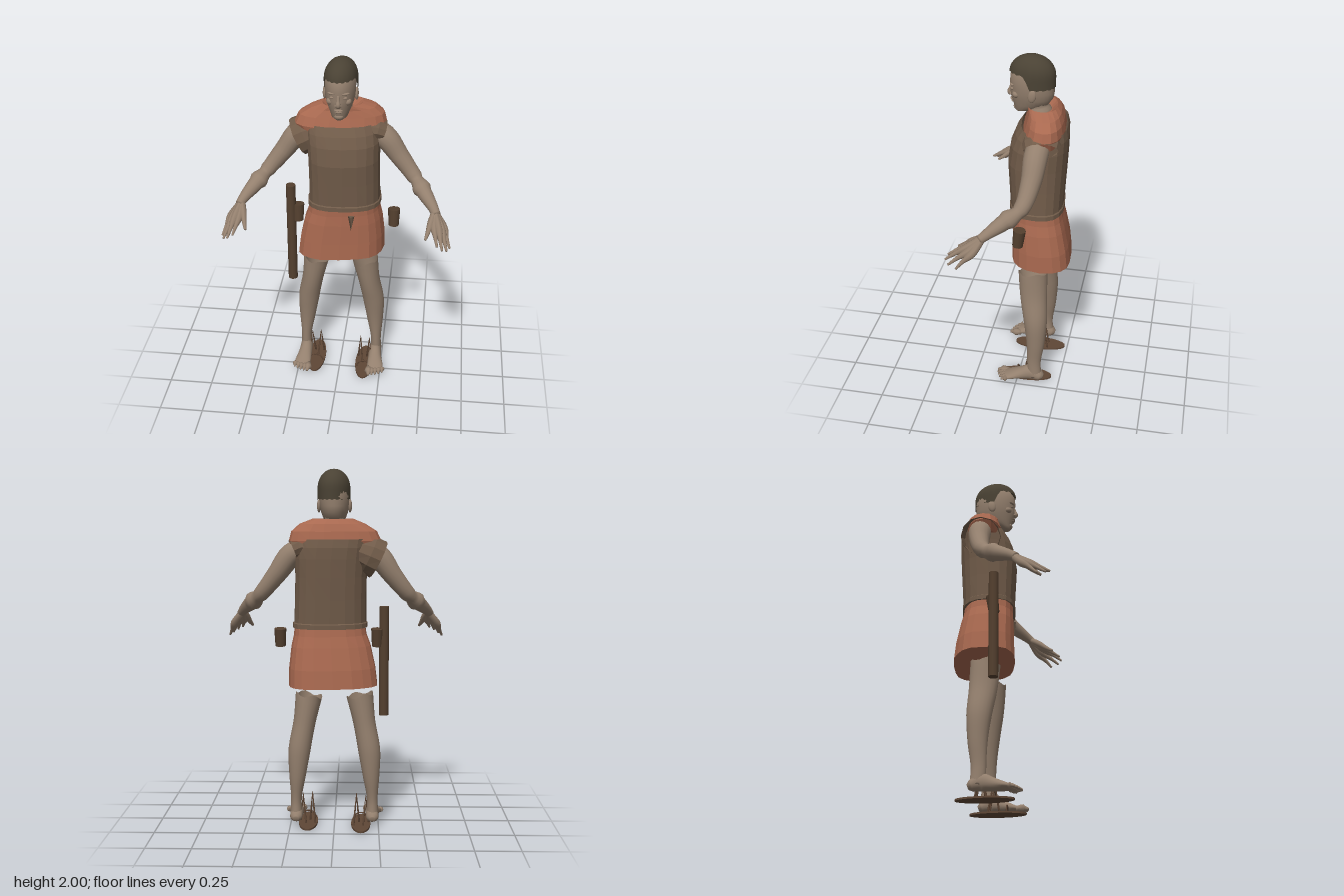
import * as THREE from 'three';

const mat = (name, color) => {
  const m = new THREE.MeshStandardMaterial({ color, side: THREE.DoubleSide });
  m.name = name;
  return m;
};
const V = (x, y, z) => new THREE.Vector3(x, y, z);

// Skin a list of equal rings; optional end fans and faceted normals
function loft(rings, { capStart = true, capEnd = true, flat = false } = {}) {
  const n = rings[0].length, pos = [], idx = [];
  rings.forEach(r => r.forEach(p => pos.push(p.x, p.y, p.z)));
  for (let i = 0; i < rings.length - 1; i++)
    for (let j = 0; j < n; j++) {
      const a = i * n + j, b = i * n + (j + 1) % n;
      idx.push(a, b, a + n, b, b + n, a + n);
    }
  const fan = (row, reverse) => {
    const c = rings[row].reduce((s, p) => s.add(p), V(0, 0, 0)).divideScalar(n);
    const k = pos.length / 3;
    pos.push(c.x, c.y, c.z);
    for (let j = 0; j < n; j++) {
      const a = row * n + j, b = row * n + (j + 1) % n;
      reverse ? idx.push(k, b, a) : idx.push(k, a, b);
    }
  };
  if (capStart) fan(0, true);
  if (capEnd) fan(rings.length - 1, false);
  let g = new THREE.BufferGeometry();
  g.setAttribute('position', new THREE.Float32BufferAttribute(pos, 3));
  g.setIndex(idx);
  if (flat) g = g.toNonIndexed();
  g.computeVertexNormals();
  return g;
}

// Sweep ellipses along a smooth path; each point is [x, y, z, radiusA, radiusB]
function limb(pts, { side = 1, ref = V(0, 1, 0), sides = 14, steps = 5, jag = 0, ...opts } = {}) {
  const path = new THREE.CatmullRomCurve3(pts.map(p => V(p[0] * side, p[1], p[2])));
  const radii = new THREE.CatmullRomCurve3(pts.map(p => V(p[3], p[4] ?? p[3], 0)));
  const count = (pts.length - 1) * steps, rings = [];
  for (let i = 0; i <= count; i++) {
    const u = i / count, c = path.getPoint(u), t = path.getTangent(u), r = radii.getPoint(u);
    const a = ref.clone().cross(t).normalize(), b = t.clone().cross(a);
    rings.push(Array.from({ length: sides }, (_, j) => {
      const q = j / sides * Math.PI * 2;
      const p = c.clone().addScaledVector(a, r.x * Math.cos(q)).addScaledVector(b, r.y * Math.sin(q));
      if (i === count) p.y += jag * Math.sin(q * 4);
      return p;
    }));
  }
  return loft(rings, opts);
}

// Horizontal rings; each row is [y, centreX, centreZ, radiusX, radiusZ]
function body(rows, { sides = 20, power = 1, skew = 0, fold = 0, ...opts } = {}) {
  const pw = v => Math.sign(v) * Math.abs(v) ** power;
  return loft(rows.map(([y, cx, cz, rx, rz]) => Array.from({ length: sides }, (_, j) => {
    const q = j / sides * Math.PI * 2, f = 1 + fold * Math.cos(q * 7);
    const dx = rx * f * pw(Math.cos(q));
    return V(cx + dx, y, cz - rz * f * pw(Math.sin(q)) - skew * dx);
  })), opts);
}

export function createModel() {
  const root = new THREE.Group();
  const skin = mat('skin', 0x94806e), cloth = mat('rust cloth', 0xa96950), leather = mat('brown leather', 0x705b49);
  const hairMat = mat('dark hair', 0x4a4234), wood = mat('dark wood', 0x54402f), sole = mat('sandal leather', 0x5f4736);
  const add = (name, geo, material, parent = root) => {
    const m = new THREE.Mesh(geo, material);
    m.name = name;
    parent.add(m);
    return m;
  };
  const blob = (name, x, y, z, rx, ry, rz, parent) => {
    const m = add(name, new THREE.SphereGeometry(1, 14, 10), skin, parent);
    m.position.set(x, y, z);
    m.scale.set(rx, ry, rz);
    return m;
  };

  // Skirt
  add('skirt', body([
    [0.82, 0.003, -0.108, 0.245, 0.172], [0.92, 0.008, -0.105, 0.238, 0.165],
    [1.04, 0.015, -0.095, 0.218, 0.152], [1.1, 0.02, -0.09, 0.2, 0.143], [1.17, 0.022, -0.085, 0.192, 0.138],
  ], { power: 0.72, skew: 0.12, fold: 0.012, flat: true }), cloth);
  const flap = add('frontFold', new THREE.ConeGeometry(0.018, 0.09, 4), leather);
  flap.position.set(0.07, 1.06, 0.05);
  flap.rotation.set(-0.08, 0, Math.PI);

  // Vest and tunic yoke
  add('vest', body([
    [1.14, 0.022, -0.085, 0.206, 0.153], [1.165, 0.022, -0.085, 0.205, 0.153], [1.17, 0.022, -0.085, 0.199, 0.148],
    [1.3, 0.02, -0.085, 0.196, 0.155], [1.42, 0.018, -0.085, 0.196, 0.162], [1.52, 0.015, -0.095, 0.2, 0.157],
    [1.58, 0.008, -0.107, 0.2, 0.145], [1.625, 0, -0.118, 0.195, 0.125],
  ], { power: 0.76, skew: 0.08, flat: true, capEnd: false }), leather);
  add('tunicYoke', body([
    [1.56, 0, -0.115, 0.22, 0.11], [1.615, -0.005, -0.116, 0.25, 0.115], [1.665, 0, -0.12, 0.232, 0.103],
    [1.705, 0.01, -0.118, 0.178, 0.09], [1.732, 0.008, -0.105, 0.11, 0.08], [1.7, 0.005, -0.09, 0.07, 0.065],
  ], { power: 0.85, skew: 0.1, flat: true, sides: 18 }), cloth);
  const sleeveOpts = { sides: 12, steps: 1, flat: true, capStart: false, capEnd: false };
  add('rightSleeve', limb([
    [-0.13, 1.56, -0.11, 0.1, 0.085], [-0.19, 1.535, -0.11, 0.115, 0.105], [-0.24, 1.51, -0.105, 0.112, 0.108],
  ], sleeveOpts), leather);
  add('leftSleeve', limb([
    [0.13, 1.59, -0.125, 0.1, 0.06], [0.19, 1.58, -0.13, 0.1, 0.062], [0.225, 1.565, -0.135, 0.092, 0.055],
  ], sleeveOpts), leather);

  // Head and face
  const head = new THREE.Group();
  head.name = 'head';
  root.add(head);
  add('skull', body([
    [1.682, 0, 0.015, 0.02, 0.022], [1.695, 0, -0.002, 0.042, 0.048], [1.73, 0, -0.04, 0.06, 0.094],
    [1.765, 0, -0.047, 0.073, 0.112], [1.8, 0, -0.048, 0.08, 0.117], [1.825, 0, -0.049, 0.082, 0.115],
    [1.85, 0, -0.048, 0.083, 0.12], [1.9, 0, -0.048, 0.081, 0.115], [1.95, 0, -0.048, 0.06, 0.085], [1.98, 0, -0.048, 0.02, 0.03],
  ], { sides: 28 }), skin, head);
  add('neck', limb([[0, 1.62, -0.1, 0.075], [0, 1.7, -0.085, 0.064], [0, 1.77, -0.075, 0.064]], { ref: V(0, 0, 1) }), skin, head);
  add('nose', limb([[0, 1.835, 0.06, 0.008], [0, 1.805, 0.068, 0.01], [0, 1.783, 0.074, 0.013], [0, 1.772, 0.065, 0.012]],
    { ref: V(1, 0, 0) }), skin, head);
  blob('upperLip', 0, 1.75, 0.057, 0.025, 0.006, 0.013, head);
  blob('lowerLip', 0, 1.738, 0.052, 0.022, 0.007, 0.013, head);
  blob('chin', 0, 1.705, 0.035, 0.026, 0.018, 0.018, head);
  for (const s of [-1, 1]) {
    blob('nostril', s * 0.012, 1.776, 0.064, 0.008, 0.007, 0.01, head);
    blob('eye', s * 0.033, 1.818, 0.052, 0.014, 0.007, 0.01, head);
    blob('brow', s * 0.033, 1.842, 0.053, 0.026, 0.007, 0.013, head).rotation.y = s * 0.3;
    blob('cheek', s * 0.045, 1.79, 0.03, 0.022, 0.02, 0.022, head);
    blob('ear', s * 0.085, 1.8, -0.06, 0.011, 0.036, 0.022, head).rotation.x = -0.15;
  }

  // Cropped hair: a dome with a higher, ragged edge over the forehead
  const hairRings = [];
  for (let k = 0; k < 12; k++)
    hairRings.push(Array.from({ length: 40 }, (_, j) => {
      const q = j / 40 * Math.PI * 2, front = -Math.sin(q);
      const edge = (front > 0.3 ? 1.905 : front > 0.1 ? 1.87 : 1.832) + (j % 2) * 0.006;
      const y = edge + (2 - edge) * Math.sin(k / 11 * Math.PI / 2);
      const h = Math.max(0, (y - 1.895) / 0.105);
      const r = Math.max(0.01, (1 - Math.min(1, h) ** 2) ** 0.48);
      return V(0.003 + 0.089 * r * Math.cos(q) - 0.008 * front * r, y, -0.048 + 0.124 * r * front);
    }));
  add('hair', loft(hairRings, { capStart: false }), hairMat, head);

  for (const s of [-1, 1]) {
    const label = s > 0 ? 'left' : 'right';

    // Arm, with fingers that run back through the palm
    const arm = new THREE.Group();
    arm.name = label + 'Arm';
    root.add(arm);
    add('armLength', limb([
      [0.15, 1.58, -0.12, 0.06], [0.235, 1.535, -0.11, 0.064], [0.32, 1.425, -0.1, 0.054], [0.41, 1.315, -0.065, 0.043],
      [0.465, 1.265, 0.01, 0.043], [0.52, 1.215, 0.09, 0.029], [0.54, 1.19, 0.125, 0.024],
    ], { side: s, sides: 16 }), skin, arm);
    const fingers = [
      [0.53, 1.14, 0.19, 0.552, 1.09, 0.29], [0.556, 1.135, 0.2, 0.58, 1.075, 0.3],
      [0.573, 1.125, 0.185, 0.605, 1.06, 0.28], [0.585, 1.12, 0.165, 0.621, 1.05, 0.235],
    ];
    for (const [kx, ky, kz, tx, ty, tz] of fingers)
      add('finger', limb([
        [0.53, 1.2, 0.11, 0.02], [kx, ky + 0.01, kz - 0.01, 0.021], [(kx + tx) / 2, (ky + ty) / 2 + 0.004, (kz + tz) / 2, 0.0115],
        [tx, ty, tz, 0.006],
      ], { side: s, sides: 8 }), skin, arm);
    add('thumb', limb([
      [0.53, 1.2, 0.11, 0.02], [0.513, 1.165, 0.165, 0.019], [0.5, 1.13, 0.21, 0.013], [0.488, 1.105, 0.25, 0.007],
    ], { side: s, sides: 8 }), skin, arm);

    // Lower leg, open at the top, with a bare foot
    const leg = new THREE.Group();
    leg.name = label + 'Leg';
    root.add(leg);
    add('shin', limb([
      [0.215, 0.06, -0.11, 0.034, 0.042], [0.215, 0.15, -0.105, 0.03, 0.04], [0.207, 0.3, -0.112, 0.047, 0.053],
      [0.195, 0.45, -0.108, 0.062, 0.068], [0.168, 0.6, -0.092, 0.062, 0.077], [0.142, 0.755, -0.083, 0.075, 0.083],
    ], { side: s, ref: V(0, 0, 1), sides: 20, capEnd: false, jag: 0.01 }), skin, leg);
    add('foot', limb([
      [0.215, 0.055, -0.16, 0.015, 0.015], [0.215, 0.062, -0.14, 0.034, 0.032], [0.213, 0.078, -0.09, 0.036, 0.048],
      [0.215, 0.065, -0.03, 0.04, 0.036], [0.222, 0.05, 0.04, 0.048, 0.02], [0.225, 0.043, 0.075, 0.045, 0.012],
    ], { side: s, sides: 16 }), skin, leg);
    for (let i = 0; i < 5; i++) {
      const x = 0.184 + i * 0.02, r = i ? 0.0095 : 0.014, z = 0.118 - i * i * 0.002;
      add('toe', limb([[x, 0.046, 0.05, r], [x + 0.002, 0.044, z - 0.02, r], [x + 0.003, 0.04, z, r * 0.5]],
        { side: s, sides: 8, steps: 4 }), skin, leg);
    }

    // Loose sandal beside the foot: flat sole, upright laces and a toe loop
    const sandal = new THREE.Group();
    sandal.name = label + 'Sandal';
    sandal.position.set(s * 0.15, 0, s > 0 ? -0.045 : -0.08);
    root.add(sandal);
    const base = add('sole', new THREE.CylinderGeometry(1, 1, 0.01, 24), sole, sandal);
    base.scale.set(0.055, 1, 0.155);
    base.position.y = 0.006;
    for (const [x, h] of [[-0.025, 0.19], [0.028, 0.18]])
      for (const d of [-1, 1])
        add('lace', limb([[x + d * 0.016, 0.01, -0.02 + d * 0.03, 0.006], [x + d * 0.008, h / 2, -0.02 + d * 0.015, 0.005], [x, h, -0.02, 0.0015]],
          { side: s, ref: V(0, 0, 1), sides: 5, steps: 2 }), sole, sandal);
    const loop = add('toeLoop', new THREE.TorusGeometry(0.042, 0.004, 5, 14, Math.PI), sole, sandal);
    loop.position.set(0, 0.012, 0.05);

    // Hanging cup
    const cup = add(label + 'Cup', new THREE.CylinderGeometry(0.034, 0.029, 0.1, 12), wood);
    cup.position.set(s > 0 ? 0.304 : -0.238, 1.072, -0.032);
    cup.rotation.x = -0.12;
  }

  // Staff at the right hip
  const staff = add('staff', new THREE.CylinderGeometry(0.027, 0.027, 0.617, 12), wood);
  staff.position.set(-0.277, 0.937, -0.025);

  return root;
}
